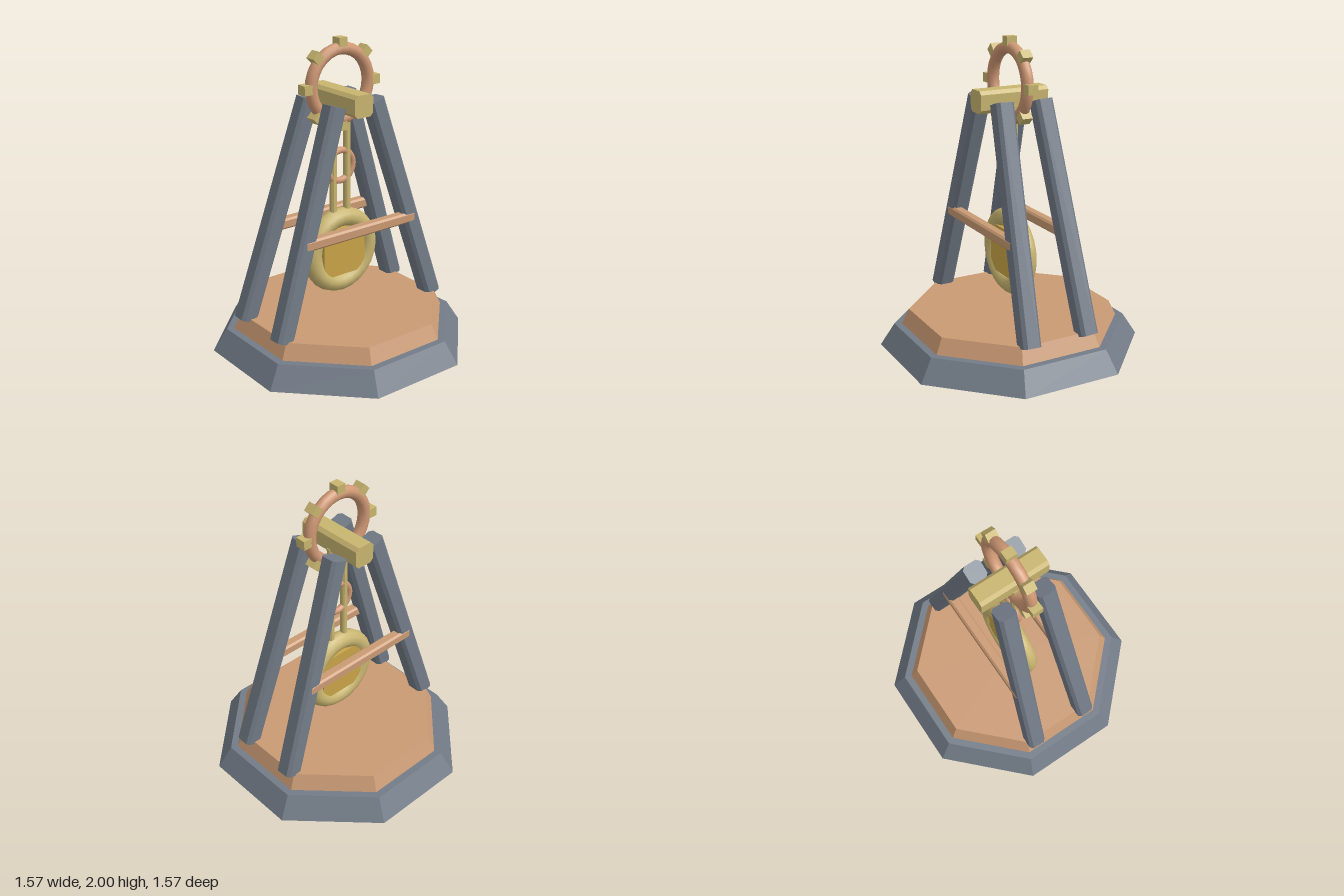
import * as THREE from 'three';

const mat = (name, color) => {
  const m = new THREE.MeshStandardMaterial({ color });
  m.name = name;
  return m;
};

export function createModel() {
  const slate = mat('slate', 0x727b87);
  const wood = mat('wood', 0xca9a74);
  const copper = mat('copper', 0xcf9874);
  const brass = mat('brass', 0xc8b570);
  const gold = mat('gold', 0xc9a548);
  const model = new THREE.Group();

  const add = (name, geometry, material, x = 0, y = 0, z = 0) => {
    const mesh = new THREE.Mesh(geometry, material);
    mesh.name = name;
    mesh.position.set(x, y, z);
    model.add(mesh);
    return mesh;
  };

  // Beam along z with chamfered long edges, centred on the origin
  const beam = (w, h, length, c) => {
    const x = w / 2, y = h / 2;
    const outline = [[x - c, -y], [x, c - y], [x, y - c], [x - c, y],
      [c - x, y], [-x, y - c], [-x, c - y], [c - x, -y]];
    const shape = new THREE.Shape(outline.map(([a, b]) => new THREE.Vector2(a, b)));
    return new THREE.ExtrudeGeometry(shape, { depth: length, bevelEnabled: false })
      .translate(0, 0, -length / 2);
  };

  // Octagonal tier with flat sides facing the axes, sized by apothem
  const tier = (top, bottom, height) => {
    const k = 1 / Math.cos(Math.PI / 8);
    return new THREE.CylinderGeometry(top * k, bottom * k, height, 8)
      .rotateY(Math.PI / 8).toNonIndexed();
  };
  const flat = (g) => { g.computeVertexNormals(); return g; };

  // Stepped base
  add('lowerBase', flat(tier(0.7, 0.785, 0.142)), slate, 0, 0.071, 0);
  add('upperBase', flat(tier(0.61, 0.655, 0.098)), wood, 0, 0.191, 0);

  // Four leaning legs
  for (const sx of [-1, 1]) {
    for (const sz of [-1, 1]) {
      const foot = new THREE.Vector3(sx * 0.61, 0.226, sz * 0.202);
      const head = new THREE.Vector3(sx * 0.148, 1.617, sz * 0.135);
      const along = head.clone().sub(foot);
      const length = along.length();
      along.normalize();
      const side = new THREE.Vector3(0, 0, 1).cross(along).normalize();
      const front = along.clone().cross(side);
      const leg = add('leg', beam(0.12, 0.12, length, 0.02), slate);
      leg.quaternion.setFromRotationMatrix(new THREE.Matrix4().makeBasis(side, front, along));
      leg.position.copy(foot).add(head).multiplyScalar(0.5);
    }
  }

  // Cross braces on the front and back legs
  for (const sz of [-1, 1]) {
    add('crossBrace', beam(0.07, 0.07, 0.86, 0.012), wood, 0, 0.81, sz * 0.2).rotation.y = Math.PI / 2;
  }

  // Top beam
  add('topBeam', beam(0.14, 0.14, 0.47, 0.022), brass, 0, 1.615, 0);

  // Studded crown ring
  add('crownRing', new THREE.TorusGeometry(0.22, 0.039, 10, 28), copper, 0, 1.71, 0);
  for (let i = 0; i < 8; i++) {
    const a = i * Math.PI / 4;
    add('ringStud', new THREE.BoxGeometry(0.06, 0.06, 0.07), brass,
      Math.cos(a) * 0.262, 1.71 + Math.sin(a) * 0.26, 0).rotation.z = a;
  }

  // Twin hanging rods and their collar
  for (const sx of [-1, 1]) {
    add('hangingRod', beam(0.042, 0.042, 0.76, 0.01), brass, sx * 0.055, 1.2, 0).rotation.x = Math.PI / 2;
  }
  add('rodCollar', new THREE.TorusGeometry(0.1, 0.022, 10, 24), copper, 0, 1.187, 0);

  // Pendulum bob with a square core
  add('bobRing', new THREE.TorusGeometry(0.223, 0.062, 12, 24), brass, 0, 0.617, 0);
  add('bobCore', beam(0.328, 0.316, 0.1, 0.03), gold, 0, 0.617, 0);

  return model;
}
